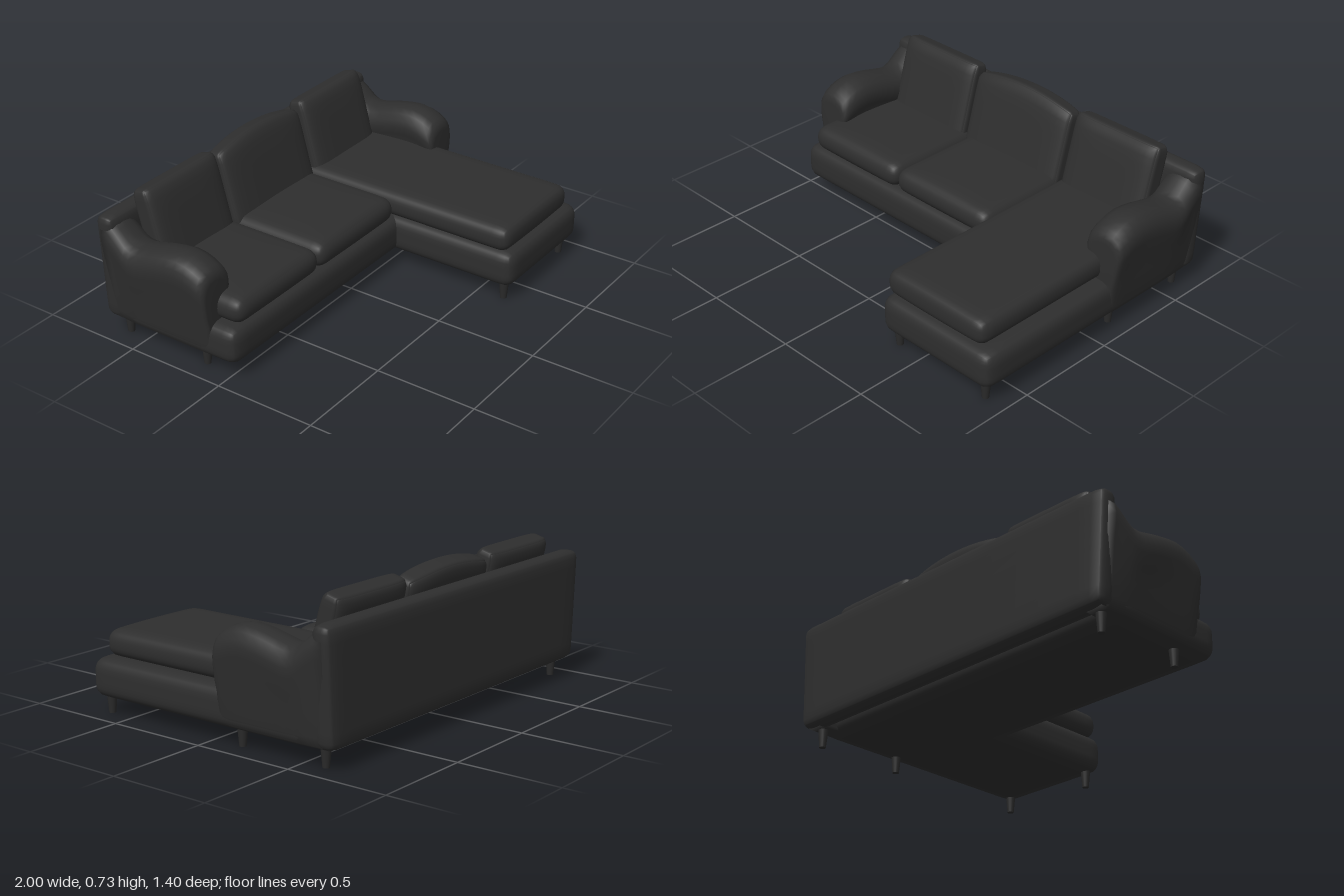
import * as THREE from 'three';
import { mergeVertices } from 'three/addons/utils/BufferGeometryUtils.js';

const fabric = new THREE.MeshStandardMaterial({ color: 0x2e2e2e });
fabric.name = 'charcoal fabric';
const legPaint = new THREE.MeshStandardMaterial({ color: 0x2a2a2a });
legPaint.name = 'dark leg';

function add(parent, name, geometry, material = fabric) {
  const mesh = new THREE.Mesh(geometry, material);
  mesh.name = name;
  parent.add(mesh);
  return mesh;
}

// Soft rounded block; shape(p, u) may bend each point, u being its place in -1..1
function softBlock(w, h, d, r, shape) {
  const geo = new THREE.BoxGeometry(2, 2, 2, 18, 12, 18);
  geo.deleteAttribute('uv');
  geo.deleteAttribute('normal');
  const merged = mergeVertices(geo, 1e-4);
  const half = new THREE.Vector3(w / 2, h / 2, d / 2);
  const pos = merged.attributes.position;
  const p = new THREE.Vector3(), u = new THREE.Vector3(), core = new THREE.Vector3();
  const inner = half.clone().subScalar(r).max(new THREE.Vector3());
  const outer = inner.clone().negate();
  for (let i = 0; i < pos.count; i++) {
    u.fromBufferAttribute(pos, i);
    // crowd the grid towards the edges
    for (const k of ['x', 'y', 'z']) u[k] = Math.sin(u[k] * Math.PI / 2);
    p.copy(u).multiply(half);
    core.copy(p).clamp(outer, inner);
    p.sub(core).setLength(r).add(core);
    if (shape) shape(p, u);
    pos.setXYZ(i, p.x, p.y, p.z);
  }
  merged.computeVertexNormals();
  return merged;
}

// Block placed by its limits on each axis
function block(parent, name, [x0, x1], [y0, y1], [z0, z1], r, shape) {
  const mesh = add(parent, name, softBlock(x1 - x0, y1 - y0, z1 - z0, r, shape));
  mesh.position.set((x0 + x1) / 2, (y0 + y1) / 2, (z0 + z1) / 2);
  return mesh;
}

// Rolled arm: one outline lofted from front to back, following the swooping top
function armGeometry(side) {
  // z, top height, size of the section
  const sections = [
    [-0.074, 0.485, 0.7], [-0.077, 0.497, 0.83], [-0.087, 0.51, 0.93], [-0.105, 0.522, 0.98],
    [-0.14, 0.539, 1], [-0.18, 0.553, 1], [-0.23, 0.56, 1], [-0.285, 0.555, 1], [-0.34, 0.545, 1],
    [-0.4, 0.53, 1], [-0.46, 0.516, 1], [-0.5, 0.517, 0.99], [-0.53, 0.53, 0.98], [-0.58, 0.575, 0.93],
    [-0.62, 0.605, 0.88], [-0.66, 0.618, 0.84],
  ];
  const outline = (h) => [
    [0.84, 0.088], [0.925, 0.088], [0.945, 0.1], [0.957, 0.14], [0.97, 0.24], [0.985, h - 0.2],
    [0.997, h - 0.13], [1, h - 0.09], [0.993, h - 0.055], [0.975, h - 0.025], [0.945, h - 0.006],
    [0.9, h], [0.855, h - 0.006], [0.82, h - 0.025], [0.8, h - 0.055], [0.793, h - 0.09],
    [0.8, h - 0.13], [0.82, h - 0.18], [0.83, 0.25], [0.83, 0.1],
  ];
  const points = [], index = [];
  const n = outline(0.5).length;
  const tri = (a, b, c) => (side > 0 ? index.push(a, b, c) : index.push(a, c, b));
  sections.forEach(([z, h, s], i) => {
    const mid = (h + 0.088) / 2;
    const sy = z > -0.12 ? 1 - (1 - s) * 0.4 : 1;
    for (const [x, y] of outline(h)) points.push(side * (0.9 + (x - 0.9) * s), mid + (y - mid) * sy, z);
    if (i === 0) return;
    for (let j = 0; j < n; j++) {
      const a = (i - 1) * n + j, b = (i - 1) * n + (j + 1) % n;
      tri(a, a + n, b);
      tri(b, a + n, b + n);
    }
  });
  // end caps
  const last = (sections.length - 1) * n, centre = sections.length * n;
  points.push(side * 0.9, 0.29, -0.073, side * 0.9, 0.35, -0.66);
  for (let j = 0; j < n; j++) {
    const k = (j + 1) % n;
    tri(centre, j, k);
    tri(centre + 1, last + k, last + j);
  }
  const geo = new THREE.BufferGeometry();
  geo.setAttribute('position', new THREE.Float32BufferAttribute(points, 3));
  geo.setIndex(index);
  geo.computeVertexNormals();
  return geo;
}

export function createModel() {
  const sofa = new THREE.Group();
  sofa.name = 'cornerSofa';

  // Upholstered base, with the long chaise on the left
  block(sofa, 'mainBase', [-0.955, 0.6], [0.078, 0.262], [-0.58, 0.06], 0.06);
  block(sofa, 'chaiseBase', [0.295, 0.955], [0.078, 0.266], [-0.58, 0.7], 0.06);

  // Backrest, narrowing a little towards the floor
  block(sofa, 'backrest', [-0.983, 0.983], [0.088, 0.626], [-0.7, -0.595], 0.045, (p, u) => {
    p.x *= 1 - 0.03 * (1 - u.y) / 2;
  });

  // Arms
  add(sofa, 'leftArm', armGeometry(1));
  add(sofa, 'rightArm', armGeometry(-1));

  // Seat cushions, slightly domed
  const puff = (p, u) => {
    p.y += 0.012 * Math.sign(u.y) * Math.max(0, (1 - u.x ** 2) * (1 - u.z ** 4));
  };
  block(sofa, 'rightSeatCushion', [-0.9, -0.302], [0.255, 0.382], [-0.58, 0.052], 0.06, puff);
  block(sofa, 'middleSeatCushion', [-0.308, 0.302], [0.255, 0.382], [-0.58, 0.052], 0.06, puff);
  block(sofa, 'chaiseCushion', [0.297, 0.892], [0.26, 0.388], [-0.58, 0.668], 0.055, (p, u) => {
    p.y += 0.005 * Math.sign(u.y) * (1 - u.x ** 2);
  });

  // Leaning back cushions, thinner at the sides; the middle one has a domed top
  const backCushions = [
    ['rightBackCushion', -0.82, -0.328, 0],
    ['middleBackCushion', -0.312, 0.298, 0.04],
    ['leftBackCushion', 0.322, 0.815, 0],
  ];
  for (const [name, x0, x1, dome] of backCushions) {
    const mesh = block(sofa, name, [x0, x1], [0.31, 0.715], [-0.59, -0.455], 0.028, (p, u) => {
      p.z *= (1 - 0.3 * u.x ** 6) * (1 - 0.25 * Math.max(0, u.y) ** 6);
      if (u.y > 0) p.y += u.y * dome * (0.3 - u.x ** 2);
    });
    mesh.rotation.x = -0.27;
  }

  // Tapered legs
  const legGeo = new THREE.CylinderGeometry(0.025, 0.016, 0.1, 16);
  const legSpots = [
    [-0.885, -0.61], [0.885, -0.61], [-0.885, -0.155], [0.885, -0.155], [0.355, 0.635], [0.885, 0.635],
  ];
  for (const [x, z] of legSpots) add(sofa, 'leg', legGeo, legPaint).position.set(x, 0.05, z);

  return sofa;
}
